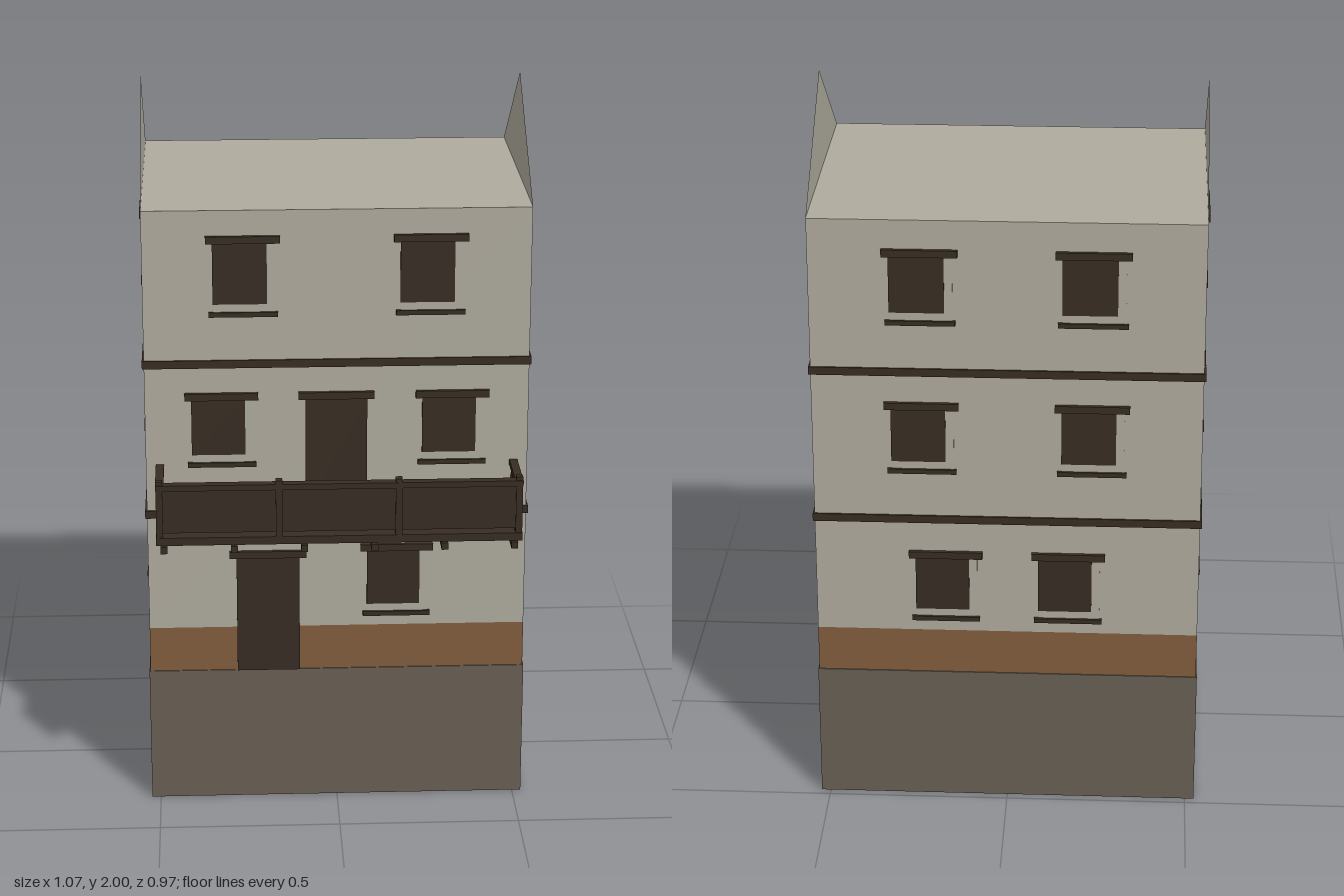
import * as THREE from 'three';

const mat = (name, color, side = THREE.FrontSide) => {
  const m = new THREE.MeshStandardMaterial({ color, side });
  m.name = name;
  return m;
};

export function createModel() {
  const plaster = mat('plaster', 0xaeaa9d, THREE.DoubleSide);
  const wood = mat('dark wood', 0x372d23);
  const stone = mat('foundation stone', 0x685f54);
  const brown = mat('brown skirting', 0x805c3c);

  const house = new THREE.Group();
  house.name = 'house';

  // Box given by its min and max on each axis
  const box = (parent, name, material, [x0, x1], [y0, y1], [z0, z1]) => {
    const mesh = new THREE.Mesh(new THREE.BoxGeometry(x1 - x0, y1 - y0, z1 - z0), material);
    mesh.position.set((x0 + x1) / 2, (y0 + y1) / 2, (z0 + z1) / 2);
    mesh.name = name;
    parent.add(mesh);
    return mesh;
  };

  const W = 0.522, FRONT = 0.306, BACK = -0.475, MID = (FRONT + BACK) / 2;

  // Stacked body
  box(house, 'foundation', stone, [-0.525, 0.525], [0, 0.39], [BACK - 0.003, FRONT + 0.003]);
  box(house, 'skirting', brown, [-W, W], [0.39, 0.52], [BACK, FRONT]);
  box(house, 'walls', plaster, [-W, W], [0.52, 1.72], [BACK, FRONT]);
  for (const y of [0.86, 1.292]) {
    box(house, 'floorBand', wood, [-0.527, 0.527], [y - 0.011, y + 0.011], [BACK - 0.005, FRONT + 0.005]);
  }

  // Free-standing gable sheets at both ends
  for (const side of [-1, 1]) {
    const shape = new THREE.Shape([
      new THREE.Vector2(-FRONT, 1.72), new THREE.Vector2(-BACK, 1.72), new THREE.Vector2(-MID, 2),
    ]);
    const gable = new THREE.Mesh(new THREE.ShapeGeometry(shape), plaster);
    gable.rotation.y = Math.PI / 2;
    gable.position.x = side * W;
    gable.name = 'gable';
    house.add(gable);
  }

  // Places a group flush on one wall; u runs to the viewer's right
  const onWall = (name, wall, u) => {
    const g = new THREE.Group();
    g.name = name;
    if (wall === 'front') g.position.set(u, 0, FRONT);
    if (wall === 'back') { g.position.set(-u, 0, BACK); g.rotation.y = Math.PI; }
    if (wall === 'right') { g.position.set(W, 0, -u); g.rotation.y = Math.PI / 2; }
    if (wall === 'left') { g.position.set(-W, 0, u); g.rotation.y = -Math.PI / 2; }
    house.add(g);
    return g;
  };

  // Window: lintel, shutter set to one side, plain reveal and sill
  const addWindow = (wall, u, top, sill) => {
    const g = onWall('window', wall, u);
    box(g, 'lintel', wood, [-0.1, 0.1], [top - 0.02, top], [-0.01, 0.011]);
    box(g, 'shutter', wood, [-0.082, 0.064], [sill + 0.028, top - 0.02], [-0.01, 0.006]);
    box(g, 'reveal', plaster, [-0.08, 0.086], [sill + 0.006, top - 0.02], [-0.01, 0.003]);
    box(g, 'sill', wood, [-0.093, 0.093], [sill - 0.007, sill + 0.006], [-0.01, 0.01]);
  };
  const addDoor = (u, top, bottom, half) => {
    const g = onWall('door', 'front', u);
    box(g, 'lintel', wood, [-half - 0.019, half + 0.019], [top - 0.02, top], [-0.01, 0.011]);
    box(g, 'doorLeaf', wood, [-half, half], [bottom, top - 0.02], [-0.01, 0.007]);
  };

  // Openings on each face
  for (const s of [-1, 1]) {
    addWindow('front', s * 0.252, 1.65, 1.433);
    addWindow('front', s * 0.314, 1.21, 1.005);
    addWindow('back', s * 0.228, 1.64, 1.435);
    addWindow('back', s * 0.228, 1.205, 1.005);
    addWindow('back', s * 0.167, 0.764, 0.56);
  }
  addWindow('front', 0.165, 0.764, 0.557);
  for (const [top, sill] of [[1.64, 1.435], [1.203, 1.005], [0.764, 0.56]]) {
    addWindow('right', -MID, top, sill);
    addWindow('left', MID, top, sill);
  }
  addDoor(-0.191, 0.748, 0.39, 0.087);
  addDoor(-0.002, 1.21, 0.87, 0.084);
  box(house, 'threshold', brown, [-0.07, 0.04], [0.86, 0.868], [FRONT, FRONT + 0.012]);

  // Balcony: slab, joists, railing panels and posts
  const balcony = new THREE.Group();
  balcony.name = 'balcony';
  house.add(balcony);
  box(balcony, 'deck', wood, [-0.495, 0.495], [0.834, 0.856], [FRONT, 0.476]);
  for (let i = 0; i < 6; i++) {
    const x = -0.474 + i * 0.1895;
    box(balcony, 'joist', wood, [x - 0.009, x + 0.009], [0.815, 0.834], [FRONT, 0.488]);
  }
  box(balcony, 'frontPanel', wood, [-0.49, 0.49], [0.868, 0.995], [0.456, 0.47]);
  box(balcony, 'frontRail', wood, [-0.495, 0.495], [0.99, 1.006], [0.45, 0.476]);
  for (const s of [-1, 1]) {
    const span = (a, b) => (s < 0 ? [-b, -a] : [a, b]);
    box(balcony, 'sidePanel', wood, span(0.478, 0.49), [0.868, 0.995], [FRONT, 0.46]);
    box(balcony, 'sideRail', wood, span(0.473, 0.495), [0.99, 1.006], [FRONT, 0.46]);
  }
  for (const x of [-0.485, -0.163, 0.16, 0.485]) {
    box(balcony, 'post', wood, [x - 0.009, x + 0.009], [0.85, 1.016], [0.453, 0.474]);
  }

  return house;
}
